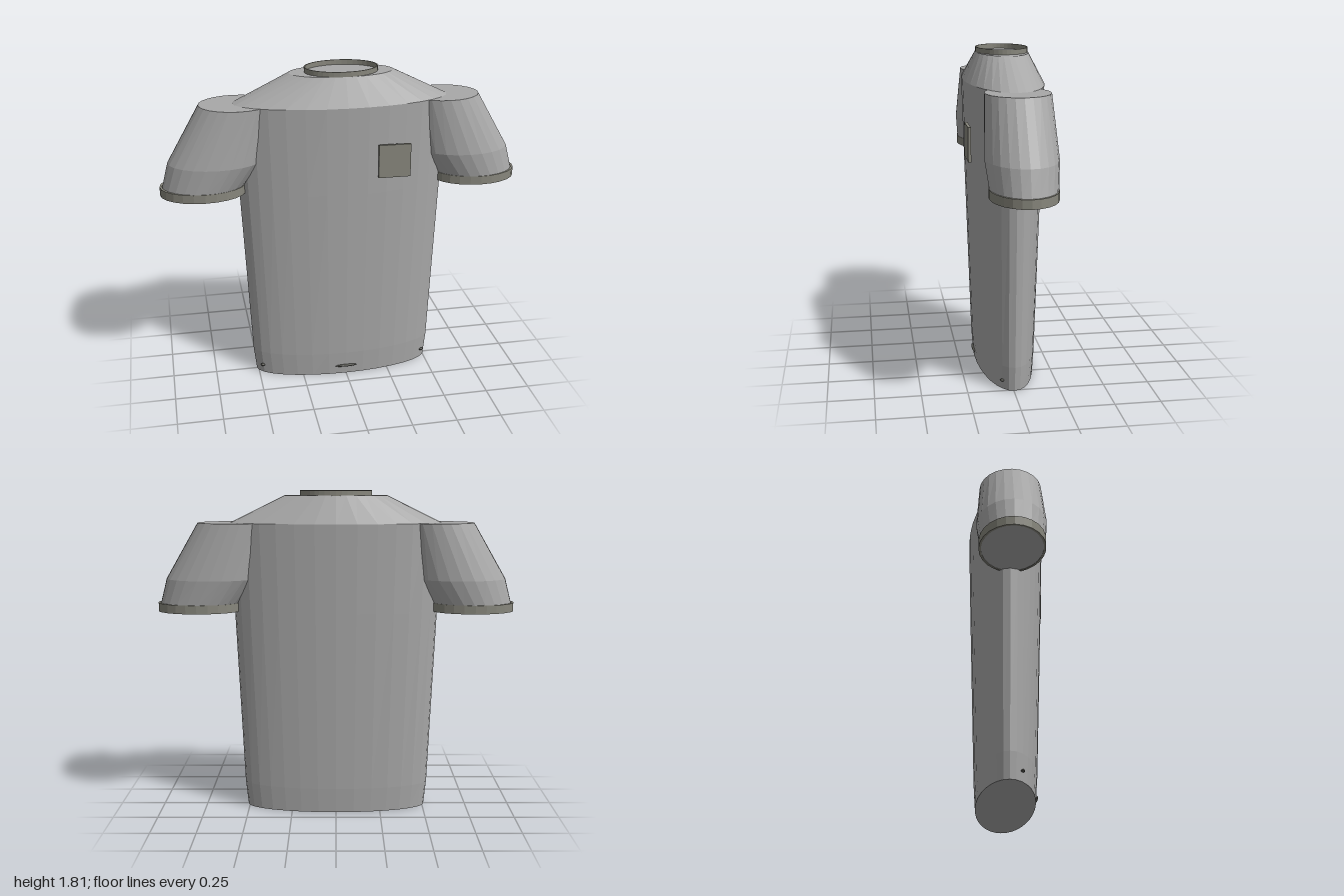
import * as THREE from 'three';

// Stack of ellipses [x, y, rx, rz] skinned into a faceted, capped solid
function loft(sections, sides) {
  const pos = [], idx = [], n = sections.length;
  for (const [x, y, rx, rz] of sections) {
    for (let i = 0; i < sides; i++) {
      const a = (i / sides) * Math.PI * 2;
      pos.push(x + Math.cos(a) * rx, y, Math.sin(a) * rz);
    }
  }
  for (let s = 0; s < n - 1; s++) {
    for (let i = 0; i < sides; i++) {
      const a = s * sides + i, b = s * sides + (i + 1) % sides;
      idx.push(a, a + sides, b, b, a + sides, b + sides);
    }
  }
  const top = (n - 1) * sides;
  for (let i = 1; i < sides - 1; i++) {
    idx.push(0, i, i + 1);
    idx.push(top, top + i + 1, top + i);
  }
  return flat(pos, idx);
}

// Elliptical band with a square cross-section
function band(x, y0, y1, rx, rz, wall, sides) {
  const pos = [], idx = [];
  const loop = [[y0, 0], [y1, 0], [y1, wall], [y0, wall]];
  for (const [y, inset] of loop) {
    for (let i = 0; i < sides; i++) {
      const a = (i / sides) * Math.PI * 2;
      pos.push(x + Math.cos(a) * (rx - inset), y, Math.sin(a) * (rz - inset));
    }
  }
  for (let s = 0; s < 4; s++) {
    for (let i = 0; i < sides; i++) {
      const j = (i + 1) % sides, t = ((s + 1) % 4) * sides;
      const a = s * sides + i, b = s * sides + j;
      idx.push(a, t + i, b, b, t + i, t + j);
    }
  }
  return flat(pos, idx);
}

function flat(pos, idx) {
  const g = new THREE.BufferGeometry();
  g.setAttribute('position', new THREE.Float32BufferAttribute(pos, 3));
  g.setIndex(idx);
  const out = g.toNonIndexed();
  out.computeVertexNormals();
  return out;
}

export function createModel() {
  const shirt = new THREE.Group();
  shirt.name = 'shirt';

  const cloth = new THREE.MeshStandardMaterial({ color: 0xa8a8a8 });
  cloth.name = 'grey cloth';
  const trim = new THREE.MeshStandardMaterial({ color: 0x87867c });
  trim.name = 'warm grey trim';
  const thread = new THREE.MeshStandardMaterial({ color: 0x55554f });
  thread.name = 'dark thread';

  const garment = new THREE.Group();
  garment.name = 'garment';
  garment.position.z = -0.005;
  shirt.add(garment);

  const add = (name, geometry, material, parent = garment) => {
    const mesh = new THREE.Mesh(geometry, material);
    mesh.name = name;
    parent.add(mesh);
    return mesh;
  };

  // Torso with sloping shoulders
  add('torso', loft([
    [0, 0, 0.51, 0.16],
    [0, 0.14, 0.525, 0.169],
    [0, 1.14, 0.57, 0.201],
    [0, 1.63, 0.59, 0.215],
    [0, 1.78, 0.285, 0.142],
  ], 32), cloth);

  // Raised neck band
  add('collar', band(0, 1.775, 1.807, 0.2, 0.142, 0.006, 40), trim);

  // Sleeves and cuffs
  for (const [side, s] of [['left', 1], ['right', -1]]) {
    add(side + 'Sleeve', loft([
      [s * 0.763, 1.14, 0.225, 0.165],
      [s * 0.76, 1.185, 0.225, 0.17],
      [s * 0.69, 1.32, 0.26, 0.185],
      [s * 0.57, 1.63, 0.2, 0.168],
    ], 24), cloth);
    add(side + 'Cuff', band(s * 0.765, 1.138, 1.186, 0.235, 0.173, 0.012, 24), trim);
  }

  // Chest pocket
  const pocket = add('chestPocket', new THREE.BoxGeometry(0.176, 0.184, 0.016), trim, shirt);
  pocket.position.set(0.253, 1.328, 0.212);

  // Hem stitches on the front
  for (const [x, z, w] of [[0, 0.16, 0.065], [0.48, 0.06, 0.014], [-0.48, 0.06, 0.014]]) {
    const stitch = add('hemStitch', new THREE.SphereGeometry(1, 10, 6), thread, shirt);
    stitch.scale.set(w, 0.007, 0.011);
    stitch.position.set(x, 0.053, z);
  }

  return shirt;
}
